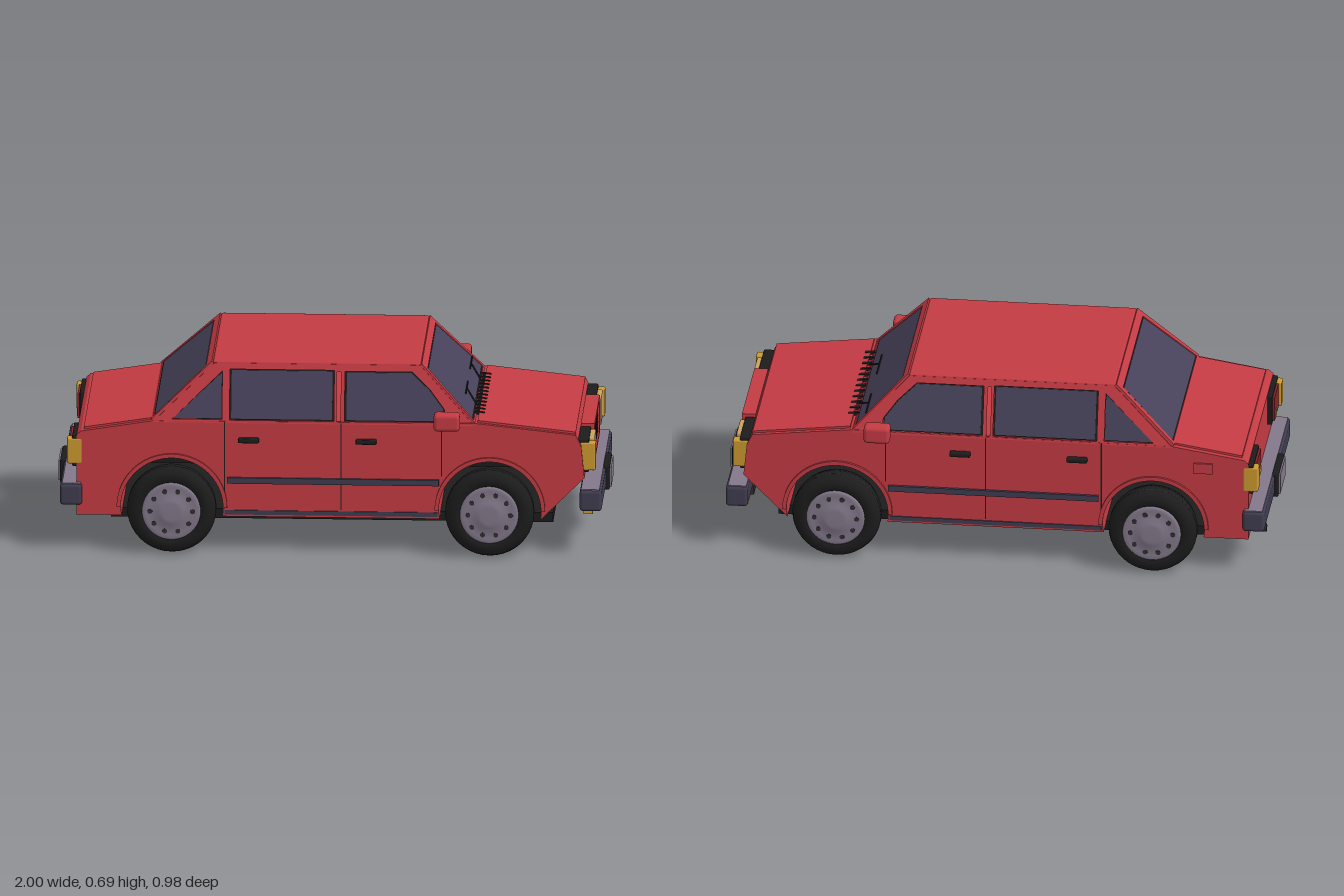
import * as THREE from 'three';
import { RoundedBoxGeometry } from 'three/addons/geometries/RoundedBoxGeometry.js';

const mat = (name, color, side = THREE.FrontSide) => {
  const m = new THREE.MeshStandardMaterial({ color, side });
  m.name = name;
  return m;
};

export function createModel() {
  const car = new THREE.Group();
  car.name = 'sedan';
  const red = mat('red paint', 0xc43b43);
  const glass = mat('tinted glass', 0x47425a);
  const trim = mat('bumper trim', 0x403c50);
  const grey = mat('wheel grey', 0x83788a);
  const black = mat('black rubber', 0x1c1c1d);
  const charcoal = mat('charcoal', 0x303034);
  const tan = mat('headlight lens', 0xc9a160);
  const amber = mat('amber lens', 0xcc9a30);
  const lampRed = mat('tail lens', 0x8a2229);

  const add = (name, geo, m, parent = car) => {
    const mesh = new THREE.Mesh(geo, m);
    mesh.name = name;
    parent.add(mesh);
    return mesh;
  };
  // Box given by its limits, optionally rounded
  const box = (name, m, x0, x1, y0, y1, z0, z1, r = 0) => {
    const s = [x1 - x0, y1 - y0, Math.abs(z1 - z0)];
    const mesh = add(name, r ? new RoundedBoxGeometry(...s, 2, r) : new THREE.BoxGeometry(...s), m);
    mesh.position.set((x0 + x1) / 2, (y0 + y1) / 2, (z0 + z1) / 2);
    return mesh;
  };
  const rod = (name, m, a, b, r) => {
    const p = new THREE.Vector3(...a), q = new THREE.Vector3(...b), d = q.clone().sub(p);
    const mesh = add(name, new THREE.CylinderGeometry(r, r, d.length(), 8), m);
    mesh.position.copy(p).add(q).multiplyScalar(0.5);
    mesh.quaternion.setFromUnitVectors(new THREE.Vector3(0, 1, 0), d.normalize());
  };
  const poly = (pts) => new THREE.Shape(pts.map(([x, y]) => new THREE.Vector2(x, y)));
  const extrude = (shape, depth) =>
    new THREE.ExtrudeGeometry(shape, { depth, bevelEnabled: false, curveSegments: 24 }).translate(0, 0, -depth / 2);

  // Lower body with wheel arches cut right through
  const axles = [0.575, -0.575], wy = 0.163, archR = 0.185;
  const a0 = Math.asin((wy - 0.13) / archR);
  const body = new THREE.Shape();
  body.moveTo(0.917, 0.13);
  for (const x of axles) body.absarc(x, wy, archR, -a0, Math.PI + a0, false);
  [[-0.92, 0.13], [-0.92, 0.43], [-0.905, 0.443], [-0.645, 0.485], [0.52, 0.49],
    [0.885, 0.45], [0.905, 0.41], [0.917, 0.29]].forEach(([x, y]) => body.lineTo(x, y));
  add('body', extrude(body, 0.78), red);
  add('hood', extrude(poly([[0.53, 0.487], [0.53, 0.497], [0.885, 0.458], [0.885, 0.448]]), 0.75), red);
  add('trunkLid', extrude(poly([[-0.895, 0.44], [-0.895, 0.453], [-0.645, 0.492], [-0.645, 0.48]]), 0.74), red);
  box('floor', black, -0.8, 0.8, 0.1, 0.135, -0.305, 0.305);

  // Cabin sides: frame with window openings, leaning inwards
  const lean = (geo, s) => {
    const p = geo.attributes.position;
    for (let i = 0; i < p.count; i++) p.setZ(i, p.getZ(i) + s * (0.378 - (p.getY(i) - 0.487) * 0.3));
    geo.computeVertexNormals();
    return geo;
  };
  const windows = [
    [[-0.575, 0.492], [-0.395, 0.66], [-0.395, 0.492]],
    [[-0.368, 0.49], [-0.368, 0.667], [0.01, 0.667], [0.01, 0.49]],
    [[0.048, 0.49], [0.048, 0.664], [0.292, 0.664], [0.36, 0.6], [0.41, 0.535], [0.41, 0.49]],
  ];
  const doorGap = [[0.02, 0.49], [0.02, 0.662], [0.034, 0.662], [0.034, 0.49]];
  for (const s of [1, -1]) {
    const frame = poly([[-0.645, 0.48], [-0.425, 0.688], [0.32, 0.688], [0.52, 0.48]]);
    frame.holes = [...windows, doorGap].map(poly);
    add('cabinFrame', lean(extrude(frame, 0.022), s), red);
    windows.forEach((w) => {
      const cx = w.reduce((t, p) => t + p[0], 0) / w.length, cy = w.reduce((t, p) => t + p[1], 0) / w.length;
      const inner = poly(w.map(([x, y]) => [cx + (x - cx) * 0.965, cy + (y - cy) * 0.95]));
      add('windowSeal', lean(extrude(poly(w), 0.01), s), black);
      add('sideWindow', lean(extrude(inner, 0.014), s), glass);
    });
  }
  box('roof', red, -0.43, 0.322, 0.672, 0.695, -0.328, 0.328, 0.008);

  // Windshield and rear window on sloping planes
  const slope = (name, x0, x1) => {
    const y0 = 0.485, y1 = 0.688, w0 = 0.387, w1 = 0.327;
    const dir = new THREE.Vector3(x1 - x0, y1 - y0, 0), L = dir.length();
    dir.normalize();
    const s = x1 < x0 ? 1 : -1;
    const n = new THREE.Vector3(dir.y * s, -dir.x * s, 0);
    const m4 = new THREE.Matrix4().makeBasis(dir.clone().cross(n), dir, n).setPosition(x0, y0, 0);
    const quad = (e, b, t) => [[-w0 + e, b], [w0 - e, b], [w1 - e, L - t], [-w1 + e, L - t]];
    const frame = poly(quad(0, 0, 0));
    frame.holes = [poly(quad(0.022, 0.008, 0.03))];
    add(name + 'Frame', extrude(frame, 0.016).applyMatrix4(m4), red);
    add(name + 'Seal', extrude(poly(quad(0.022, 0.008, 0.03)), 0.008).applyMatrix4(m4), black);
    add(name, extrude(poly(quad(0.027, 0.013, 0.035)), 0.012).applyMatrix4(m4), glass);
  };
  slope('windshield', 0.515, 0.32);
  slope('rearWindow', -0.645, -0.428);

  // Wipers and hood vents
  const onGlass = (y, z) => [0.515 - (y - 0.485) * 0.96 + 0.012, y, z];
  for (const z of [0.165, -0.165]) {
    const e = z > 0 ? 0.085 : -0.25;
    rod('wiperArm', black, onGlass(0.49, z), onGlass(0.535, e), 0.003);
    rod('wiperBlade', black, onGlass(0.537, e + 0.07), onGlass(0.537, e - 0.09), 0.003);
  }
  for (let i = 0; i < 12; i++) {
    const z = -0.26 + i * 0.0473;
    box('hoodVent', black, 0.513, 0.55, 0.485, 0.499, z - 0.007, z + 0.007).rotation.z = -0.11;
  }

  // Details on both flanks
  for (const s of [1, -1]) {
    const flank = (name, m, x0, x1, y0, y1, z0, z1, r) => box(name, m, x0, x1, y0, y1, s * z0, s * z1, r);
    flank('sideMoulding', trim, -0.375, 0.39, 0.255, 0.277, 0.388, 0.4);
    flank('sillStrip', trim, -0.385, 0.385, 0.138, 0.154, 0.388, 0.394);
    for (const x of [-0.385, 0.036, 0.4]) flank('doorSeam', black, x - 0.002, x + 0.002, x > 0.3 ? 0.29 : 0.16, 0.483, 0.389, 0.3915);
    for (const x of [-0.335, 0.09]) flank('doorHandle', black, x, x + 0.075, 0.41, 0.427, 0.388, 0.414, 0.005);
    flank('mirrorArm', black, 0.395, 0.445, 0.482, 0.512, 0.375, 0.435);
    flank('mirror', red, 0.375, 0.47, 0.483, 0.547, 0.43, 0.492, 0.014);
    for (const x of axles) {
      const lip = new THREE.Shape();
      lip.absarc(x, wy, 0.2, 0, Math.PI, false);
      lip.absarc(x, wy, archR, Math.PI, 0, true);
      add('archLip', extrude(lip, 0.014).translate(0, 0, s * 0.392), red);
    }
  }
  box('fuelFlap', red, -0.79, -0.72, 0.385, 0.425, -0.397, -0.388);

  // Wheels
  const V = (pts) => pts.map(([r, h]) => new THREE.Vector2(r, h));
  const tire = new THREE.LatheGeometry(V([[0.095, -0.05], [0.14, -0.05], [0.154, -0.038], [0.16, -0.018],
    [0.16, 0.018], [0.154, 0.036], [0.138, 0.05], [0.11, 0.052], [0.1, 0.035]]), 40);
  const groove = new THREE.TorusGeometry(0.1585, 0.0025, 6, 40).rotateX(Math.PI / 2);
  const hub = new THREE.LatheGeometry(V([[0.106, 0.035], [0.106, 0.05], [0.1, 0.057], [0.088, 0.053],
    [0.06, 0.055], [0.045, 0.062], [0.03, 0.063], [0, 0.063]]), 40);
  for (const x of axles) for (const s of [1, -1]) {
    const wheel = new THREE.Group();
    wheel.name = 'wheel';
    wheel.position.set(x, wy, s * 0.4);
    wheel.rotation.x = s * Math.PI / 2;
    car.add(wheel);
    add('tire', tire, black, wheel);
    for (const h of [-0.014, 0.014]) add('treadRib', groove, charcoal, wheel).position.y = h;
    add('wheelBack', new THREE.CylinderGeometry(0.1, 0.1, 0.08, 32), black, wheel).position.y = -0.008;
    add('hubcap', hub, grey, wheel);
    for (let i = 0; i < 10; i++) {
      const a = (i / 10) * Math.PI * 2;
      add('hubHole', new THREE.CylinderGeometry(0.009, 0.009, 0.006, 10), charcoal, wheel)
        .position.set(Math.cos(a) * 0.077, 0.053, Math.sin(a) * 0.077);
    }
  }

  // Bumpers and number plates, front (d = 1) and rear (d = -1)
  for (const d of [1, -1]) {
    const end = (name, m, x0, x1, y0, y1, z0, z1, r) =>
      box(name, m, Math.min(d * x0, d * x1), Math.max(d * x0, d * x1), y0, y1, z0, z1, r);
    end('bumper', trim, 0.9, 0.98, 0.17, 0.248, -0.413, 0.413, 0.012);
    end('bumperTop', grey, 0.905, 0.972, 0.245, 0.251, -0.405, 0.405);
    end('plateHolder', black, 0.97, 0.994, 0.163, 0.254, -0.092, 0.092, 0.006);
    end('plate', grey, 0.99, 1, 0.172, 0.245, -0.081, 0.081);
    for (const z of [0.066, -0.066]) end('plateScrew', black, 0.995, 1, 0.231, 0.237, z - 0.003, z + 0.003);
    // Lamps
    for (const s of [1, -1]) {
      if (d > 0) {
        end('headlightFrame', black, 0.89, 0.932, 0.308, 0.432, s * 0.2, s * 0.378, 0.005);
        end('headlight', tan, 0.92, 0.95, 0.322, 0.424, s * 0.207, s * 0.326, 0.005);
        end('indicator', amber, 0.9, 0.957, 0.316, 0.42, s * 0.342, s * 0.382, 0.006);
        end('fogLamp', amber, 0.91, 0.943, 0.132, 0.156, s * 0.237, s * 0.306);
      } else {
        end('tailLampFrame', black, 0.9, 0.937, 0.31, 0.425, s * 0.205, s * 0.388, 0.005);
        end('tailLamp', lampRed, 0.92, 0.945, 0.322, 0.413, s * 0.217, s * 0.34);
        end('reverseLamp', tan, 0.92, 0.948, 0.328, 0.352, s * 0.225, s * 0.265);
        end('rearIndicator', amber, 0.9, 0.955, 0.32, 0.415, s * 0.345, s * 0.391, 0.006);
      }
    }
  }

  // Grille with surround, slats and ribs
  const rim = poly([[-0.195, 0.295], [0.195, 0.295], [0.195, 0.44], [-0.195, 0.44]]);
  rim.holes = [poly([[-0.178, 0.307], [0.178, 0.307], [0.178, 0.424], [-0.178, 0.424]])];
  add('grilleSurround', extrude(rim, 0.05).rotateY(Math.PI / 2).translate(0.92, 0, 0), red);
  box('grille', charcoal, 0.89, 0.928, 0.3, 0.43, -0.18, 0.18);
  for (let i = 0; i < 5; i++) box('grilleSlat', black, 0.92, 0.94, 0.311 + i * 0.024, 0.322 + i * 0.024, -0.178, 0.178);
  for (let i = -2; i <= 2; i++) box('grilleRib', trim, 0.92, 0.934, 0.307, 0.424, i * 0.06 - 0.004, i * 0.06 + 0.004);
  box('lowerIntake', charcoal, 0.9, 0.927, 0.126, 0.158, -0.21, 0.21);

  // Exhaust pipe
  rod('exhaust', charcoal, [-0.97, 0.113, -0.245], [-0.78, 0.113, -0.245], 0.016);
  return car;
}
